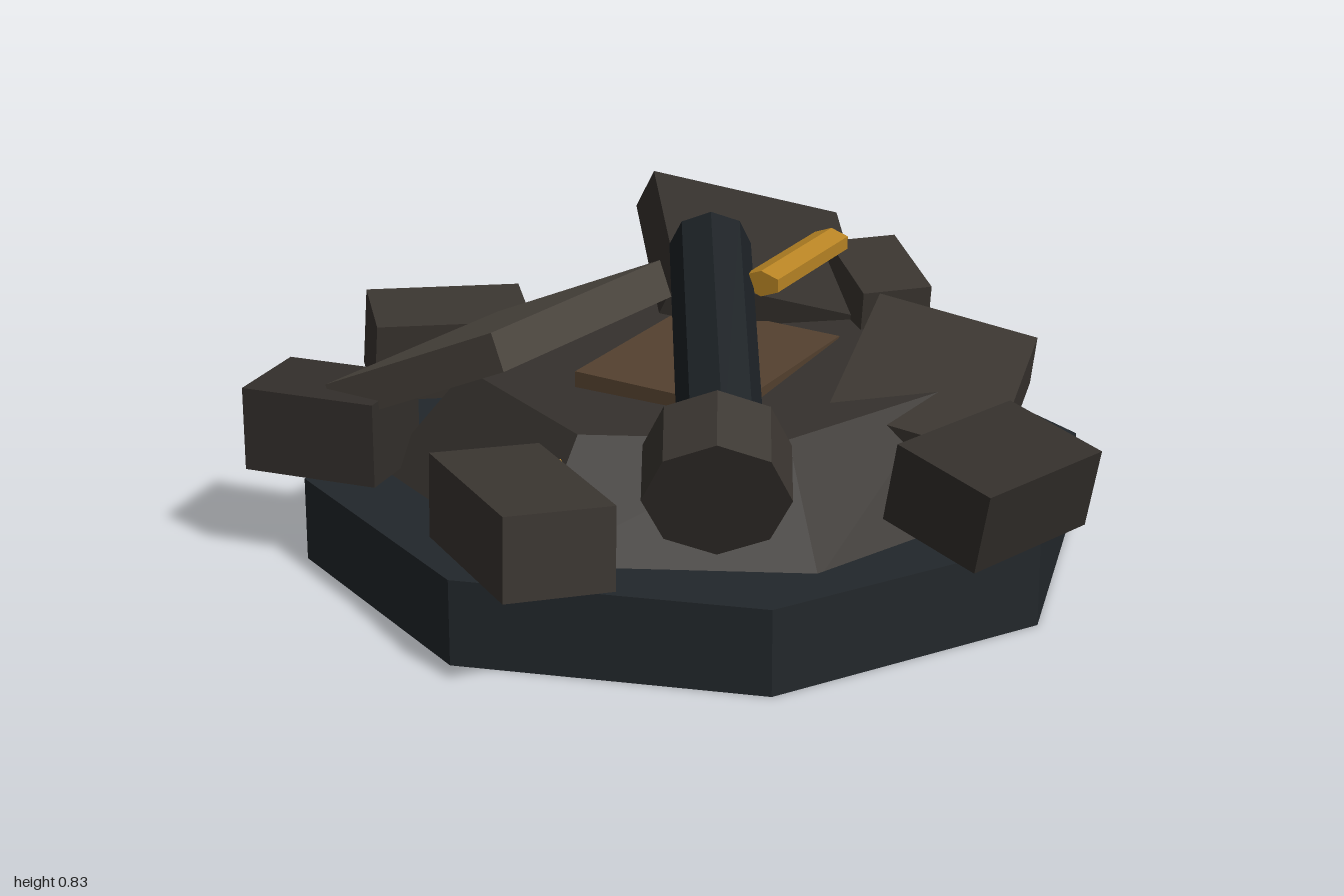
import * as THREE from 'three';

const COLORS = {
  base: 0x22272b, mound: 0x35312d, stone: 0x3a3530, paleStone: 0x4c463f,
  darkStone: 0x332f2b, wood: 0x54412f, iron: 0x1b2024, gold: 0xb88424,
};

function mesh(name, geometry, color) {
  const material = new THREE.MeshStandardMaterial({ color, flatShading: true });
  const m = new THREE.Mesh(geometry, material);
  m.name = name;
  return m;
}

// Closed solid between two convex rings with matching corners.
function loft(top, bottom) {
  const n = top.length;
  const area = top.reduce((s, p, i) => {
    const q = top[(i + 1) % n];
    return s + p[2] * q[0] - p[0] * q[2];
  }, 0);
  if (area < 0) {
    top = [...top].reverse();
    bottom = [...bottom].reverse();
  }
  const pos = [];
  const tri = (a, b, c) => pos.push(...a, ...b, ...c);
  for (let i = 0; i < n; i++) {
    const j = (i + 1) % n;
    tri(bottom[i], bottom[j], top[j]);
    tri(bottom[i], top[j], top[i]);
    if (i > 0 && i < n - 1) {
      tri(top[0], top[i], top[j]);
      tri(bottom[0], bottom[j], bottom[i]);
    }
  }
  const g = new THREE.BufferGeometry();
  g.setAttribute('position', new THREE.Float32BufferAttribute(pos, 3));
  g.computeVertexNormals();
  return g;
}

// Tilted block: one top corner a, its neighbours b and d, and the vector to the underside.
function block(name, color, a, b, d, drop) {
  const c = a.map((v, i) => b[i] + d[i] - v);
  const top = [a, b, c, d];
  return mesh(name, loft(top, top.map((p) => p.map((v, i) => v + drop[i]))), color);
}

// Faceted rod running between two points.
function rod(name, color, from, to, rFrom, rTo, sides, flatten = 1) {
  const a = new THREE.Vector3(...from), b = new THREE.Vector3(...to);
  const dir = b.clone().sub(a);
  const g = new THREE.CylinderGeometry(rTo, rFrom, dir.length(), sides);
  const y = dir.normalize();
  const x = new THREE.Vector3(0, 1, 0).cross(y).normalize();
  const z = x.clone().cross(y);
  g.scale(1, 1, flatten);
  g.applyMatrix4(new THREE.Matrix4().makeBasis(x, y, z));
  const m = mesh(name, g, color);
  m.position.copy(a).add(b).multiplyScalar(0.5);
  return m;
}

export function createModel() {
  const model = new THREE.Group();
  model.name = 'rubblePile';

  // Eight-sided plinth
  const base = mesh('base', new THREE.CylinderGeometry(0.974, 0.974, 0.21, 8).rotateY(Math.PI / 8), COLORS.base);
  base.position.set(0.055, 0.105, -0.02);
  model.add(base);

  // Seven-sided mound with a flat top
  const ring = [[0.92, 0.02], [0.59, 0.65], [-0.12, 0.77], [-0.66, 0.38], [-0.66, -0.36], [-0.03, -0.8], [0.65, -0.65]];
  const at = (y, s) => ring.map(([x, z]) => [0.08 + (x - 0.08) * s, y, z * s]);
  model.add(mesh('mound', loft(at(0.46, 0.73), at(0.2, 1)), COLORS.mound));

  // Wooden plate lying on the mound
  model.add(block('plate', COLORS.wood, [-0.3, 0.5, -0.01], [0.25, 0.475, -0.37], [-0.1, 0.49, 0.38], [0, -0.06, 0]));

  // Fallen slabs
  model.add(
    block('leftSlab', COLORS.paleStone, [-0.79, 0.45, -0.37], [-0.16, 0.45, -0.65], [-0.58, 0.675, 0.09], [0.015, -0.09, 0.03]),
    block('rearRightSlab', COLORS.darkStone, [0.29, 0.77, -0.61], [0.77, 0.62, -0.46], [0.12, 0.61, -0.22], [-0.03, -0.1, -0.04]),
    block('frontRightSlab', COLORS.stone, [0.53, 0.58, 0.08], [0.78, 0.51, 0.4], [0.14, 0.455, 0.42], [0.01, -0.13, -0.035]),
  );

  // Loose blocks around the rim
  model.add(
    block('rightBlock', COLORS.stone, [0.62, 0.61, -0.28], [0.81, 0.605, -0.25], [0.53, 0.56, 0.01], [0.01, -0.36, -0.05]),
    block('rearBlock', COLORS.stone, [-0.38, 0.46, -0.97], [0.0, 0.45, -0.83], [-0.46, 0.43, -0.75], [0, -0.21, -0.03]),
    block('rearLeftBlock', COLORS.darkStone, [-0.96, 0.44, -0.48], [-0.76, 0.44, -0.63], [-0.75, 0.44, -0.2], [0, -0.21, 0]),
    block('leftBlock', COLORS.stone, [-0.8, 0.455, 0.19], [-0.53, 0.435, 0.22], [-0.83, 0.44, 0.59], [-0.01, -0.2, 0.01]),
    block('frontBlock', COLORS.darkStone, [0.12, 0.465, 0.73], [0.52, 0.465, 0.63], [0.19, 0.405, 0.99], [0, -0.2, -0.05]),
  );

  // Leaning iron shaft with a thick stone head
  model.add(
    rod('shaft', COLORS.iron, [-0.27, 0.43, 0.6], [0.115, 0.74, -0.06], 0.1, 0.1, 8),
    rod('shaftHead', COLORS.stone, [-0.33, 0.4, 0.67], [-0.24, 0.47, 0.53], 0.17, 0.17, 8),
  );

  // Gold bars
  model.add(
    rod('goldBar', COLORS.gold, [0.13, 0.69, 0.145], [0.48, 0.69, -0.065], 0.052, 0.052, 6, 0.62),
    rod('buriedGoldBar', COLORS.gold, [-0.68, 0.37, 0.26], [-0.51, 0.36, 0.28], 0.05, 0.05, 6),
  );

  return model;
}
